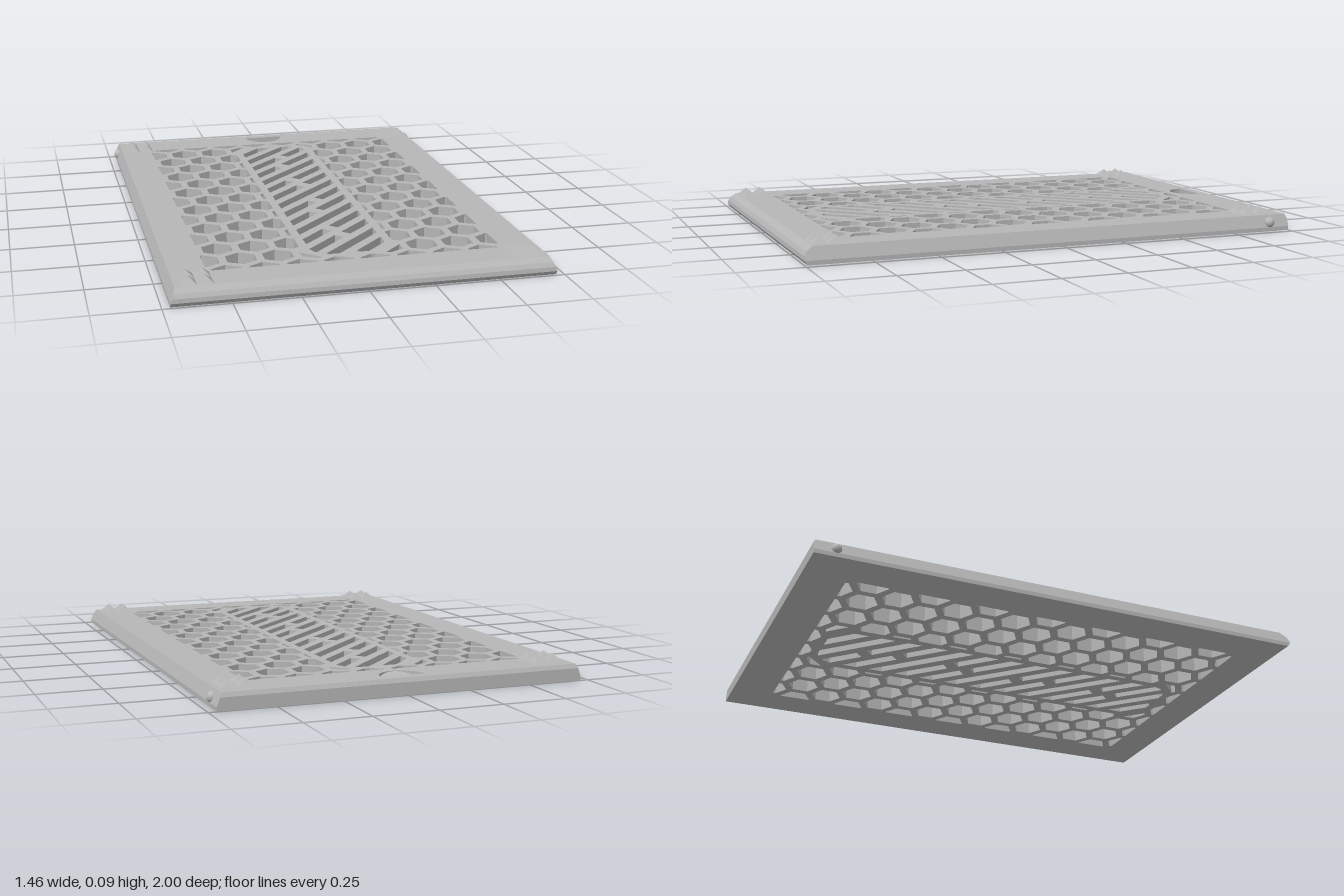
import * as THREE from 'three';

const H = 0.065;                 // plate thickness
const WIN_X = 0.565, WIN_Z = 0.83; // vent window half sizes
const PITCH = 0.14, ROW = 0.1213, HEX_R = 0.064;

// Keep the part of a convex polygon where a*x + b*z <= c
function clip(poly, [a, b, c]) {
  const out = [];
  poly.forEach((p, i) => {
    const q = poly[(i + 1) % poly.length];
    const dp = a * p[0] + b * p[1] - c, dq = a * q[0] + b * q[1] - c;
    if (dp <= 0) out.push(p);
    if (dp * dq < 0) {
      const t = dp / (dp - dq);
      out.push([p[0] + (q[0] - p[0]) * t, p[1] + (q[1] - p[1]) * t]);
    }
  });
  return out;
}

function area(poly) {
  let s = 0;
  poly.forEach((p, i) => {
    const q = poly[(i + 1) % poly.length];
    s += p[0] * q[1] - q[0] * p[1];
  });
  return Math.abs(s) / 2;
}

// Half planes of a rounded rectangle, corners cut by three facets
function roundedPlanes(hx, hz, r) {
  const planes = [[1, 0, hx], [-1, 0, hx], [0, 1, hz], [0, -1, hz]];
  for (const sx of [-1, 1]) for (const sz of [-1, 1]) for (const t of [22.5, 45, 67.5]) {
    const c = Math.cos(t * Math.PI / 180), s = Math.sin(t * Math.PI / 180);
    planes.push([sx * c, sz * s, c * (hx - r) + s * (hz - r) + r]);
  }
  return planes;
}

const windowPlanes = [[1, 0, WIN_X], [-1, 0, WIN_X], [0, 1, WIN_Z], [0, -1, WIN_Z]];
const panelOuter = roundedPlanes(0.182, 0.79, 0.11);
const panelInner = roundedPlanes(0.15, 0.758, 0.08);

// Honeycomb openings, trimmed by the window and by the centre panel
function honeycombHoles() {
  const holes = [];
  for (let j = -7; j <= 7; j++) for (let i = -5; i <= 5; i++) {
    const cx = (i + (j % 2 ? 0.5 : 0)) * PITCH, cz = j * ROW;
    let hex = [];
    for (let k = 0; k < 6; k++) {
      const a = k * Math.PI / 3;
      hex.push([cx + HEX_R * Math.sin(a), cz + HEX_R * Math.cos(a)]);
    }
    hex = windowPlanes.reduce(clip, hex);
    let best = [];
    for (const [a, b, c] of panelOuter) {
      const piece = clip(hex, [-a, -b, -c]);
      if (area(piece) > area(best)) best = piece;
    }
    if (area(best) > 0.0003) holes.push(best);
  }
  return holes;
}

// Diagonal slots of the centre panel, some divided by a short brace
function slotHoles() {
  const holes = [], s = Math.SQRT1_2, period = 0.08, gap = 0.042;
  for (let k = -9; k <= 9; k++) {
    const d = k * period;
    let slot = [[-1, -2], [1, -2], [1, 2], [-1, 2]];
    slot = [[s, s, d + gap / 2], [-s, -s, gap / 2 - d], ...panelInner].reduce(clip, slot);
    const mid = s * -d * Math.SQRT2 + (k % 2 ? 0.03 : -0.03) * Math.SQRT1_2;
    const parts = k % 3 === 0 ? [slot] : [
      clip(slot, [s, -s, mid - 0.024]),
      clip(slot, [-s, s, -mid - 0.024]),
    ];
    holes.push(...parts.filter((p) => area(p) > 0.0003));
  }
  return holes;
}

// Half disc outline of the thumb notch
function notchOutline() {
  const pts = [];
  for (let i = 0; i <= 16; i++) {
    const a = i * Math.PI / 16;
    pts.push([0.086 * Math.cos(a), -0.952 + 0.086 * Math.sin(a)]);
  }
  return pts;
}

const toVectors = (poly) => poly.map(([x, z]) => new THREE.Vector2(x, -z));

// Extrude upward from y = 0, then reshape each vertex by a rule
function extrudeUp(shape, steps, rule) {
  const geo = new THREE.ExtrudeGeometry(shape, { depth: H, steps, bevelEnabled: false });
  geo.rotateX(-Math.PI / 2);
  const pos = geo.attributes.position, v = new THREE.Vector3();
  for (let i = 0; i < pos.count; i++) {
    rule(v.fromBufferAttribute(pos, i));
    pos.setXYZ(i, v.x, v.y, v.z);
  }
  geo.computeVertexNormals();
  return geo;
}

export function createModel() {
  const group = new THREE.Group();
  const grey = new THREE.MeshStandardMaterial({ color: 0xb6b6b6 });
  grey.name = 'grey plastic';
  const add = (name, geo, x = 0, y = 0, z = 0) => {
    const mesh = new THREE.Mesh(geo, grey);
    mesh.name = name;
    mesh.position.set(x, y, z);
    group.add(mesh);
    return mesh;
  };

  // Vented plate with sloping sides and a rounded front edge
  const plate = new THREE.Shape(toVectors([[-0.72, 1], [0.72, 1], [0.72, -1], [-0.72, -1]]));
  for (const hole of [...honeycombHoles(), ...slotHoles(), notchOutline()]) {
    plate.holes.push(new THREE.Path(toVectors(hole)));
  }
  const frontEdge = [0.988, 1, 0.998, 0.988, 0.965];
  add('ventedPlate', extrudeUp(plate, 4, (v) => {
    const layer = Math.round(v.y / H * 4);
    if (Math.abs(v.x) > 0.7) v.x = Math.sign(v.x) * (0.72 - 0.0065 * Math.max(0, layer - 1));
    if (v.z > 0.98) v.z = frontEdge[layer];
    if (v.z < -0.98 && layer === 4) v.z = -0.992;
  }));

  // Sloping floor of the thumb notch, deepest at its straight edge
  add('thumbNotchFloor', extrudeUp(new THREE.Shape(toVectors(notchOutline())), 1, (v) => {
    if (v.y > 0.01) v.y = 0.03 + (v.z + 0.952) / 0.086 * 0.033;
  }));

  // Two by two pyramid feet at each corner
  const pyramid = new THREE.ConeGeometry(0.0424, 0.029, 4, 1).toNonIndexed();
  pyramid.rotateY(Math.PI / 4);
  pyramid.computeVertexNormals();
  for (const side of [-1, 1]) for (const x of [0.588, 0.649]) {
    for (const z of [-0.905, -0.844, 0.868, 0.93]) {
      add('pyramidFoot', pyramid, side * x, H + 0.0145, z);
    }
  }

  // Round catches on the sides near the back
  for (const side of [-1, 1]) {
    add('sideCatch', new THREE.SphereGeometry(0.021, 24, 16), side * 0.71, 0.035, -0.915);
  }
  return group;
}
